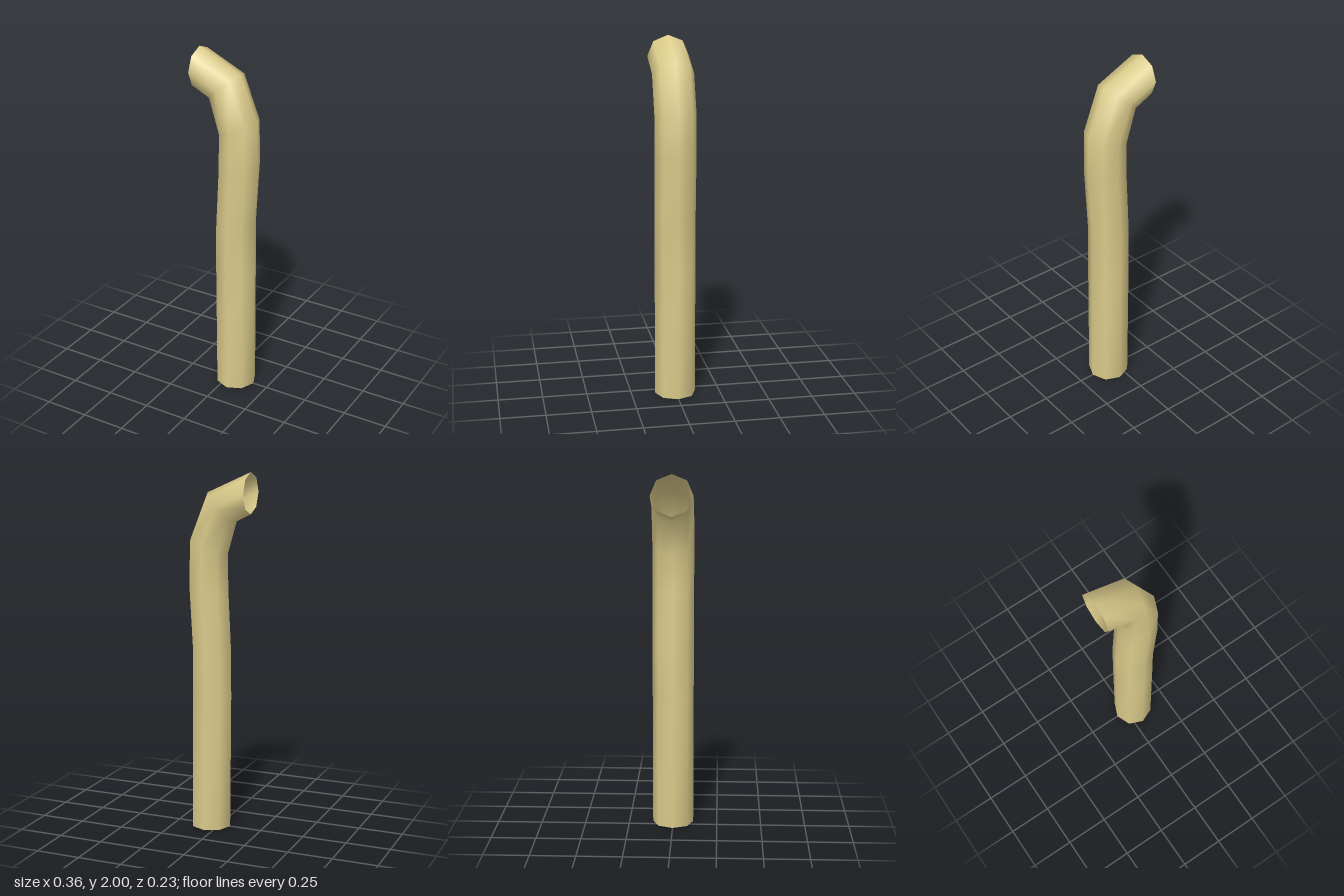
import * as THREE from 'three';

const SIDES = 8;
const RADIUS = 0.115;

// Each ring: inner edge (x, y) and outer edge (x, y), from the foot to the mouth
const RINGS = [
  [-0.065, 0, 0.163, 0],
  [-0.07, 0.76, 0.16, 0.76],
  [-0.068, 1.0, 0.157, 1.02],
  [-0.052, 1.34, 0.178, 1.38],
  [-0.047, 1.55, 0.172, 1.63],
  [-0.10, 1.735, 0.07, 1.885],
  [-0.18, 1.775, -0.18, 2.0],
];

// Open eight-sided tube lofted through the rings
function loftTube(rings) {
  const positions = [];
  const index = [];
  rings.forEach(([ix, iy, ox, oy], r) => {
    for (let s = 0; s < SIDES; s++) {
      const a = (s / SIDES) * Math.PI * 2;
      const t = (1 + Math.cos(a)) / 2;
      positions.push(ix + (ox - ix) * t, iy + (oy - iy) * t, RADIUS * Math.sin(a));
      if (r === rings.length - 1) continue;
      const here = r * SIDES + s;
      const next = r * SIDES + ((s + 1) % SIDES);
      index.push(here, here + SIDES, next, next, here + SIDES, next + SIDES);
    }
  });
  const geometry = new THREE.BufferGeometry();
  geometry.setAttribute('position', new THREE.Float32BufferAttribute(positions, 3));
  geometry.setIndex(index);
  geometry.computeVertexNormals();
  return geometry;
}

export function createModel() {
  const group = new THREE.Group();
  group.name = 'bentPipe';

  const sand = new THREE.MeshStandardMaterial({ color: 0xdaca8a, side: THREE.DoubleSide });
  sand.name = 'sand';

  // Hollow pipe, open at the foot and the mouth
  const pipe = new THREE.Mesh(loftTube(RINGS), sand);
  pipe.name = 'pipe';
  group.add(pipe);
  return group;
}
